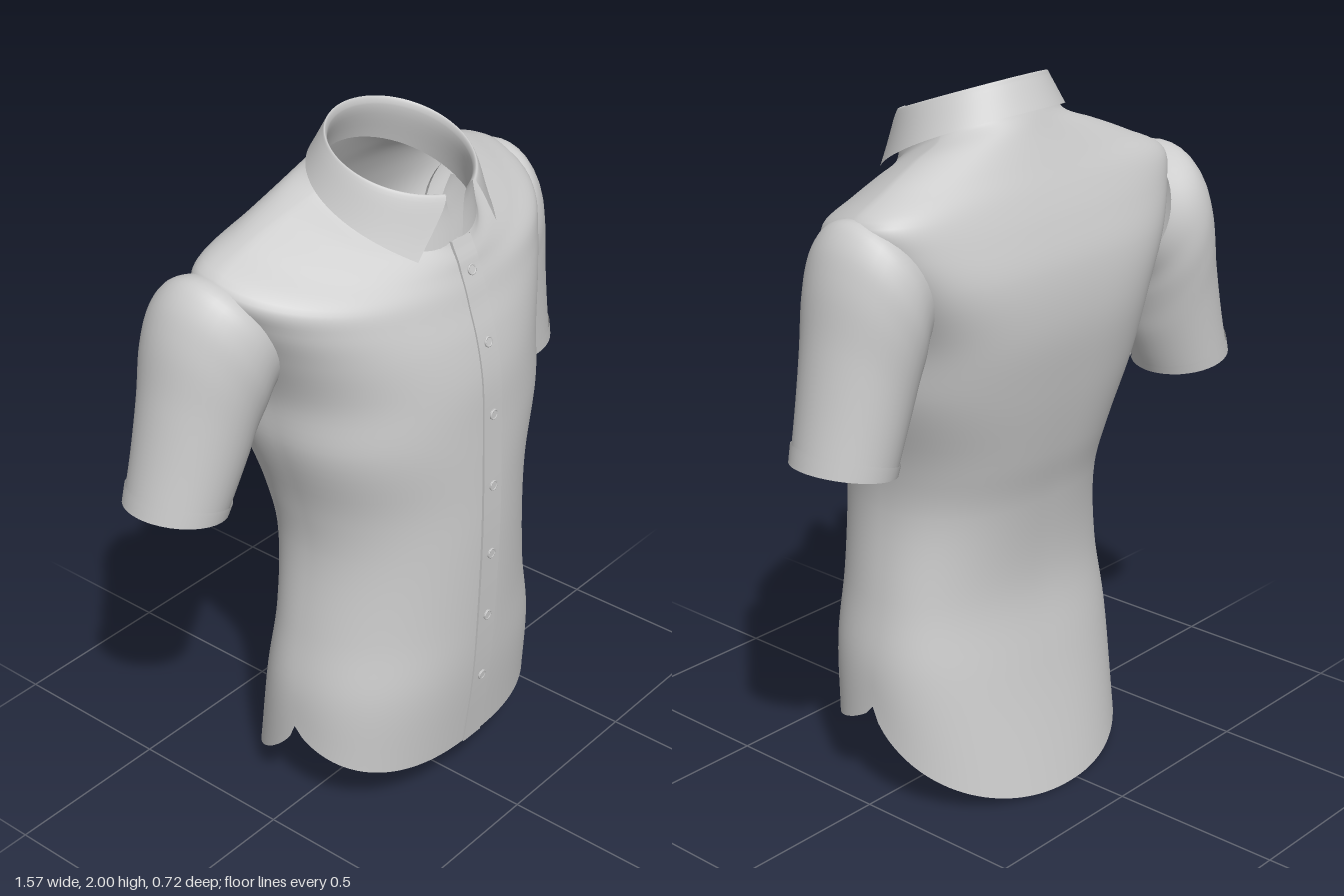
import * as THREE from 'three';
import { toCreasedNormals } from 'three/addons/utils/BufferGeometryUtils.js';

const cloth = new THREE.MeshStandardMaterial({ color: 0xcccccc, side: THREE.DoubleSide });
const V = (x, y, z) => new THREE.Vector3(x, y, z);
const range = (n, f) => Array.from({ length: n }, (_, i) => f(i));

// Skin a grid of points (rows x columns), leaving out faces that start in a hole.
function skin(rows, closed, inHole = () => false) {
  const n = rows[0].length, index = [];
  for (let i = 0; i < rows.length - 1; i++) {
    for (let j = 0; j < (closed ? n : n - 1); j++) {
      if (inHole(rows[i][j])) continue;
      const k = (j + 1) % n, a = i * n, b = a + n;
      index.push(a + j, b + j, a + k, a + k, b + j, b + k);
    }
  }
  const geo = new THREE.BufferGeometry().setFromPoints(rows.flat());
  geo.setIndex(index);
  geo.computeVertexNormals();
  return geo;
}

// Smooth rows of points through a few control rings that share a column count.
function loft(rings, steps, from = 0) {
  const curves = rings[0].map((_, j) => new THREE.CatmullRomCurve3(rings.map(r => r[j])));
  return range(steps + 1, i => {
    const t = from + (1 - from) * i / steps;
    return curves.map(c => c.getPoint(t));
  });
}

// Torso rings: half width, side y/z, front y/z, back y/z, front and back squareness
const CX = 0.03, COLS = 128;
const TORSO = [
  [0.44, 0.29, 0.01, 0.15, 0.31, 0.0, -0.335, 2.5, 2.1],
  [0.435, 0.42, 0.01, 0.40, 0.34, 0.36, -0.26, 2.3, 2.3],
  [0.405, 0.60, 0.02, 0.60, 0.352, 0.60, -0.224, 2.05, 2.4],
  [0.375, 0.85, 0.03, 0.85, 0.36, 0.85, -0.25, 2, 2.4],
  [0.39, 1.00, 0.02, 1.00, 0.36, 1.00, -0.288, 2, 2.5],
  [0.44, 1.20, 0.0, 1.20, 0.355, 1.20, -0.33, 2.15, 2.8],
  [0.45, 1.35, -0.04, 1.36, 0.348, 1.38, -0.355, 2.2, 3.2],
  [0.505, 1.50, -0.08, 1.48, 0.325, 1.53, -0.346, 2.2, 3.4],
  [0.56, 1.62, -0.10, 1.56, 0.30, 1.64, -0.312, 2.1, 3.1],
  [0.585, 1.705, -0.10, 1.61, 0.285, 1.715, -0.28, 1.95, 2.8],
  [0.46, 1.772, -0.09, 1.65, 0.27, 1.785, -0.245, 1.9, 2.4],
  [0.33, 1.82, -0.07, 1.68, 0.26, 1.85, -0.213, 1.9, 2.2],
  [0.22, 1.855, -0.05, 1.71, 0.245, 1.9, -0.19, 2, 2],
  [0.205, 1.88, -0.02, 1.73, 0.236, 1.93, -0.175, 2, 2],
];

function torsoRing([w, ys, zs, yf, zf, yb, zb, nf, nb], i) {
  return range(COLS, j => {
    const a = j / COLS * Math.PI * 2, c = Math.cos(a), s = Math.sin(a);
    const [e, y, z] = s >= 0 ? [2 / nf, yf, zf] : [2 / nb, yb, zb];
    const p = Math.abs(s) ** e;
    const h = i === 0 ? p ** 0.65 : p; // the hem dips quickly away from the side notch
    return V(CX + w * Math.sign(c) * Math.abs(c) ** e, ys + h * (y - ys), zs + p * (z - zs));
  });
}

const inArmhole = ({ x, y, z }) =>
  Math.abs(x - CX) > 0.4 && Math.hypot((y - 1.54) / 0.14, (z + 0.1) / 0.12) < 1;

// Sleeve rings: outer x/y, inner x/y, front z, back z; the first is sunk in the torso
const SLEEVE = [
  [0.53, 1.705, 0.42, 1.38, 0.07, -0.245],
  [0.615, 1.718, 0.45, 1.34, 0.09, -0.268],
  [0.66, 1.675, 0.462, 1.29, 0.095, -0.272],
  [0.695, 1.58, 0.472, 1.24, 0.088, -0.262],
  [0.72, 1.42, 0.482, 1.18, 0.078, -0.245],
  [0.75, 1.25, 0.50, 1.115, 0.068, -0.232],
  [0.78, 1.10, 0.52, 1.05, 0.06, -0.222],
];

function sleeveRing([ox, oy, ix, iy, zf, zb], i, side, grow) {
  const t = i / (SLEEVE.length - 1);
  const dx = side < 0 ? 0.04 * (1 - t) : 0;
  const dz = side < 0 ? -0.035 - 0.055 * t : 0; // the right arm hangs further back
  return range(40, j => {
    const b = j / 40 * Math.PI * 2, c = Math.cos(b) * grow / 2, s = -side * Math.sin(b) * grow / 2;
    return V(
      side * ((ox + ix) / 2 + (ox - ix) * c) + dx,
      (oy + iy) / 2 + (oy - iy) * c,
      (zf + zb) / 2 + (zf - zb) * s + dz);
  });
}

// Collar rows run round the neck; the ends can be drawn forward and down.
function collarRow(maxDeg, rx, rz, cz, height, forward = 0, down = 0) {
  return range(65, j => {
    const u = 1 - j / 32, f = u * maxDeg * Math.PI / 180;
    const z = cz - rz * Math.cos(f);
    return V(0.02 + rx * Math.sin(f), height(z, f) - down * u ** 6, z + forward * u ** 6);
  });
}

export function createModel() {
  const shirt = new THREE.Group();
  shirt.name = 'shirt';
  const add = (name, geo, parent = shirt) => {
    const mesh = new THREE.Mesh(geo, cloth);
    mesh.name = name;
    parent.add(mesh);
    return mesh;
  };

  // Body with curved hem, open at the neck and armholes
  const rings = TORSO.map(torsoRing);
  add('torso', skin(loft(rings, 78), true, inArmhole));

  // Short sleeves with a turned-up cuff band
  for (const side of [1, -1]) {
    const name = side > 0 ? 'left' : 'right';
    const make = grow => SLEEVE.map((r, i) => sleeveRing(r, i, side, grow));
    add(name + 'Sleeve', skin(loft(make(1), 36), true));
    add(name + 'Cuff', skin(loft(make(1.03), 4, 0.94), true));
  }

  // Collar: stand, rolled fold and pointed fall
  const foldY = z => 2.0 - 0.36 * (z + 0.15);
  const fallY = (z, f) => 1.915 - 0.46 * (z + 0.198) + 0.015 * Math.sin(f) ** 2;
  const collar = [
    collarRow(179, 0.212, 0.21, 0.03, z => 1.88 - 0.43 * (z + 0.185)),
    collarRow(167, 0.194, 0.18, 0.035, z => foldY(z) - 0.02, 0.01),
    collarRow(163, 0.202, 0.186, 0.035, foldY, 0.02),
    collarRow(161, 0.212, 0.194, 0.035, z => foldY(z) - 0.016, 0.022),
    collarRow(140, 0.253, 0.228, 0.03, fallY, 0.025, 0.02),
  ];
  add('collar', skin(loft(collar, 24), false));

  // Button placket following the front of the torso
  const front = new THREE.CatmullRomCurve3(rings.map(r => r[COLS / 4]));
  const strip = range(61, i => {
    const { y, z } = front.getPoint(i / 60);
    return [V(0.058, y, z - 0.012), V(0.058, y, z + 0.004), V(-0.018, y, z + 0.004), V(-0.018, y, z - 0.012)];
  });
  add('placket', toCreasedNormals(skin(strip, false), 0.7));

  // Buttons: disc with a raised rim
  const disc = new THREE.CylinderGeometry(0.015, 0.015, 0.006, 20).rotateX(Math.PI / 2);
  const rim = new THREE.TorusGeometry(0.013, 0.0025, 8, 20);
  for (const y of [0.385, 0.6, 0.81, 1.03, 1.25, 1.46, 1.65]) {
    let lo = 0, hi = 1;
    for (let k = 0; k < 30; k++) {
      const mid = (lo + hi) / 2;
      if (front.getPoint(mid).y < y) lo = mid; else hi = mid;
    }
    const d = front.getTangent(lo);
    const button = new THREE.Group();
    button.name = 'button';
    add('buttonDisc', disc, button);
    add('buttonRim', rim, button).position.z = 0.002;
    button.position.set(0.02, y, front.getPoint(lo).z + 0.005);
    button.rotation.x = Math.atan2(d.z, d.y);
    shirt.add(button);
  }

  return shirt;
}
